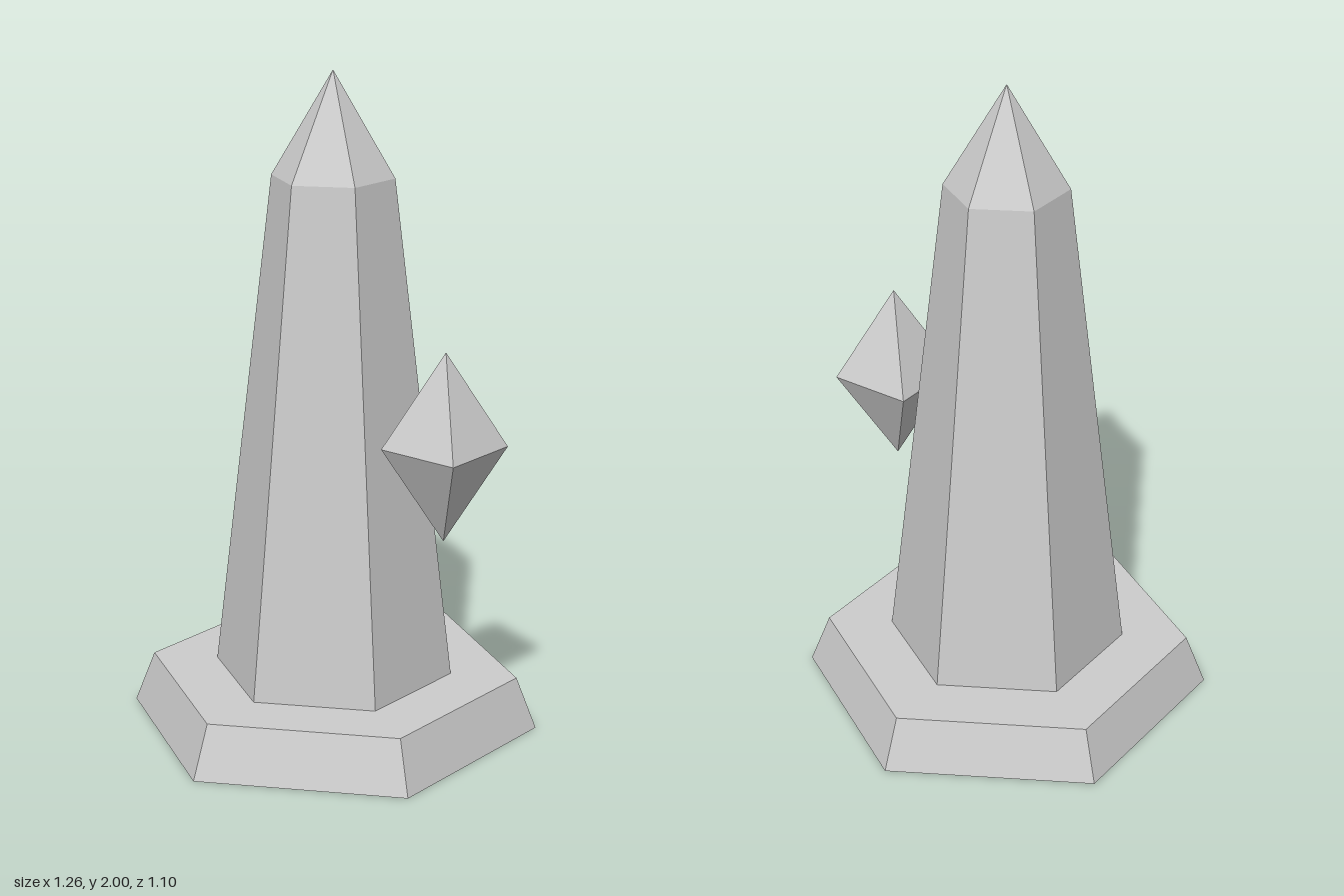
import * as THREE from 'three';

export function createModel() {
  const group = new THREE.Group();
  group.name = 'obelisk';

  const stone = new THREE.MeshStandardMaterial({ color: 0xcccccc, flatShading: true });
  stone.name = 'pale grey stone';

  // Tapered prism standing between two heights
  function prism(name, sides, bottomRadius, topRadius, y0, y1, turn, open = false) {
    const geometry = new THREE.CylinderGeometry(topRadius, bottomRadius, y1 - y0, sides, 1, open);
    geometry.rotateY(turn);
    geometry.translate(0, (y0 + y1) / 2, 0);
    const mesh = new THREE.Mesh(geometry, stone);
    mesh.name = name;
    return mesh;
  }

  // Six-sided parts have corners on the x axis
  const hexTurn = Math.PI / 6;
  group.add(prism('base', 6, 0.63, 0.568, 0, 0.16, hexTurn));
  group.add(prism('shaft', 6, 0.366, 0.183, 0.16, 1.69, hexTurn, true));
  group.add(prism('tip', 6, 0.183, 0, 1.69, 2, hexTurn, true));

  // Floating crystal: two square pyramids joined at the middle
  const crystal = new THREE.Group();
  crystal.name = 'floatingCrystal';
  const corner = 0.13 * Math.SQRT2;
  crystal.add(prism('crystalTop', 4, corner, 0, 0, 0.285, Math.PI / 4, true));
  crystal.add(prism('crystalBottom', 4, 0, corner, -0.285, 0, Math.PI / 4, true));
  crystal.position.set(0, 0.95, 0.42);
  group.add(crystal);

  return group;
}
